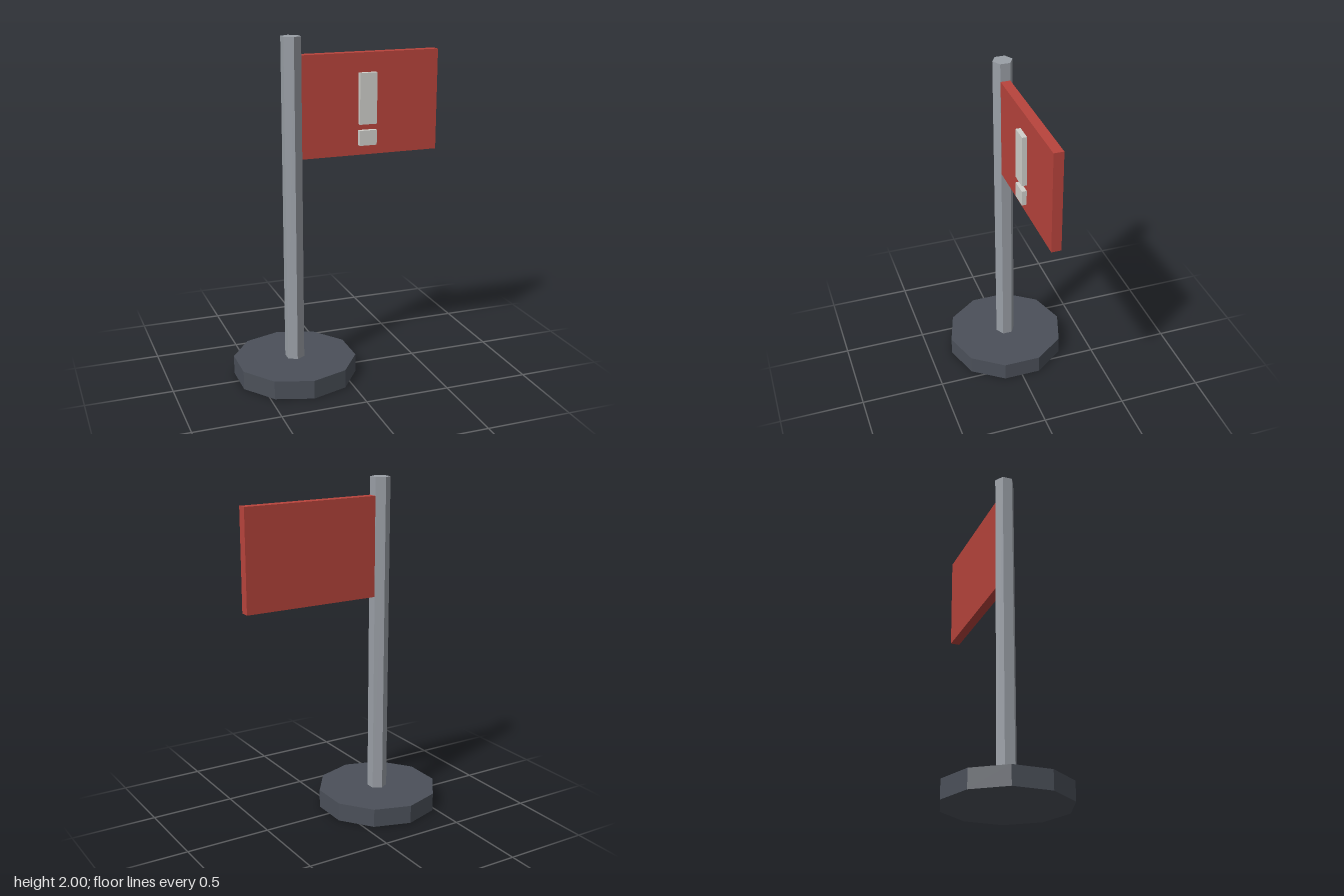
import * as THREE from 'three';

const paint = (name, color) => {
  const m = new THREE.MeshStandardMaterial({ color });
  m.name = name;
  return m;
};

export function createModel() {
  const group = new THREE.Group();
  group.name = 'warningFlag';

  const darkGrey = paint('darkGrey', 0x4b5059);
  const steel = paint('steel', 0x9a9fa6);
  const red = paint('red', 0xb8443c);
  const offWhite = paint('offWhite', 0xd0d0cb);

  const poleX = -0.265;

  // Upright prism with one corner pointing to the front
  const prism = (name, radius, y0, y1, sides, material) => {
    // flat facets need unshared corners
    const geo = new THREE.CylinderGeometry(radius, radius, y1 - y0, sides).toNonIndexed();
    geo.computeVertexNormals();
    const mesh = new THREE.Mesh(geo, material);
    mesh.name = name;
    mesh.position.set(poleX, (y0 + y1) / 2, 0);
    group.add(mesh);
  };

  // Box given by its lower and upper corners
  const block = (name, [x0, y0, z0], [x1, y1, z1], material) => {
    const mesh = new THREE.Mesh(new THREE.BoxGeometry(x1 - x0, y1 - y0, z1 - z0), material);
    mesh.name = name;
    mesh.position.set((x0 + x1) / 2, (y0 + y1) / 2, (z0 + z1) / 2);
    group.add(mesh);
  };

  // Stand: ten-sided foot and six-sided pole
  prism('base', 0.362, 0, 0.11, 10, darkGrey);
  prism('pole', 0.058, 0.11, 2, 6, steel);

  // Panel with the raised warning mark on its front
  block('flag', [-0.22, 1.312, -0.028], [0.607, 1.896, 0.028], red);
  block('markBar', [0.121, 1.492, 0.028], [0.224, 1.785, 0.056], offWhite);
  block('markDot', [0.121, 1.37, 0.028], [0.224, 1.457, 0.056], offWhite);

  return group;
}
